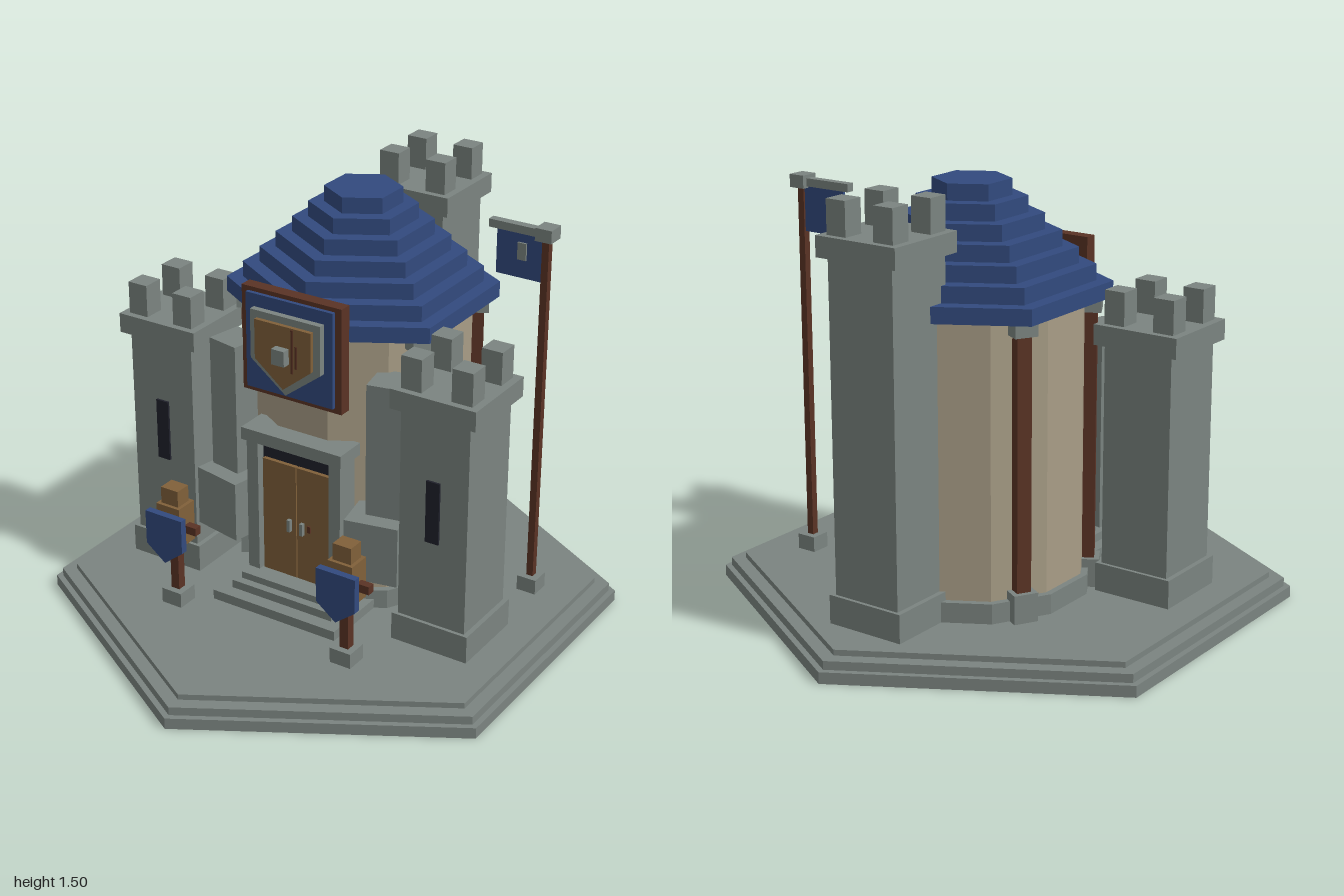
import * as THREE from 'three';

const mat = (name, color, extra = {}) => Object.assign(new THREE.MeshStandardMaterial({ color, ...extra }), { name });

export function createModel() {
  const stone = mat('stone', 0x7b8480);
  const blue = mat('blue', 0x324a7e);
  const wood = mat('wood', 0x80603a);
  const timber = mat('dark timber', 0x5a3325);
  const plaster = mat('plaster', 0xa89d86);
  const dark = mat('dark opening', 0x20212b);

  const root = new THREE.Group();
  const group = (name, x = 0, y = 0, z = 0, parent = root) => {
    const g = new THREE.Group();
    g.name = name;
    g.position.set(x, y, z);
    parent.add(g);
    return g;
  };
  const add = (parent, name, geo, m, x, y, z) => {
    const mesh = new THREE.Mesh(geo, m);
    mesh.name = name;
    mesh.position.set(x, y, z);
    parent.add(mesh);
    return mesh;
  };
  // box centred on x, z and spanning y0..y1
  const box = (parent, name, m, w, y0, y1, d, x = 0, z = 0) =>
    add(parent, name, new THREE.BoxGeometry(w, y1 - y0, d), m, x, (y0 + y1) / 2, z);
  // upright prism with n sides
  const prism = (parent, name, m, r, y0, y1, n, z = 0, turn = 0) => {
    const geo = new THREE.CylinderGeometry(r, r, y1 - y0, n).toNonIndexed();
    geo.computeVertexNormals();
    const mesh = add(parent, name, geo, m, 0, (y0 + y1) / 2, z);
    mesh.rotation.y = turn;
    return mesh;
  };
  // heater shield facing +z, with its back at z
  const shield = (parent, name, m, hw, top, side, tip, depth, z) => {
    const s = new THREE.Shape([[-hw, top], [-hw, side], [0, tip], [hw, side], [hw, top]]
      .map(([x, y]) => new THREE.Vector2(x, y)));
    return add(parent, name, new THREE.ExtrudeGeometry(s, { depth, bevelEnabled: false }), m, 0, 0, z);
  };

  // hexagonal stepped base
  [[1, 0, 0.04], [0.977, 0.04, 0.07], [0.925, 0.07, 0.09]].forEach(([r, y0, y1]) =>
    prism(root, 'baseStep', stone, r, y0, y1, 6));

  // twelve-sided hall
  const cz = -0.18;
  const hall = group('hall', 0, 0, cz);
  prism(hall, 'plinth', stone, 0.41, 0.09, 0.16, 12, 0, Math.PI / 12);
  prism(hall, 'wall', plaster, 0.387, 0.16, 1.1, 12, 0, Math.PI / 12);

  // corner columns under the roof corners
  for (const a of [60, 120, 180, 240, 300]) {
    const col = group('column', 0, 0, 0, hall);
    col.rotation.y = THREE.MathUtils.degToRad(a);
    box(col, 'columnBase', stone, 0.085, 0.09, 0.19, 0.085, 0, 0.39);
    box(col, 'columnShaft', timber, 0.05, 0.19, 1.055, 0.05, 0, 0.39);
    box(col, 'columnCap', stone, 0.08, 1.055, 1.1, 0.08, 0, 0.39);
  }

  // stepped hexagonal roof
  [0.403, 0.355, 0.305, 0.257, 0.208, 0.161, 0.115].forEach((apothem, i) =>
    prism(hall, 'roofTier', blue, apothem / Math.cos(Math.PI / 6), 1.1 + i * 0.0557, 1.1 + (i + 1) * 0.0557, 6));

  // square towers with battlements
  const tower = (name, x, z, top) => {
    const t = group(name, x, 0, z);
    box(t, 'towerFoot', stone, 0.29, 0.09, 0.19, 0.29);
    box(t, 'towerShaft', stone, 0.255, 0.19, top - 0.07, 0.265);
    box(t, 'towerCap', stone, 0.315, top - 0.07, top, 0.31);
    for (const sx of [-1, 1]) for (const sz of [-1, 1])
      box(t, 'merlon', stone, 0.076, top, top + 0.115, 0.076, sx * 0.093, sz * 0.093);
    return t;
  };
  tower('backTower', 0, -0.625, 1.385);
  for (const s of [-1, 1]) {
    const t = tower(s > 0 ? 'leftTower' : 'rightTower', s * 0.545, 0.117, 1.025);
    box(t, 'arrowSlit', dark, 0.05, 0.5, 0.725, 0.009, 0, 0.136);

    // masonry piers between hall and tower
    const upper = box(root, 'upperPier', stone, 0.125, 0.28, 0.98, 0.13, s * 0.31, 0.135);
    upper.rotation.y = s * 0.2;
    const lower = box(root, 'lowerPier', stone, 0.19, 0.28, 0.5, 0.15, s * 0.3, 0.19);
    lower.rotation.y = s * 0.2;
  }

  // entrance steps
  box(root, 'step', stone, 0.5, 0.09, 0.125, 0.29, 0, 0.24);
  box(root, 'step', stone, 0.41, 0.125, 0.155, 0.23, 0, 0.22);
  box(root, 'step', stone, 0.37, 0.155, 0.18, 0.18, 0, 0.215);

  // door with frame
  const door = group('doorway');
  box(door, 'doorRecess', dark, 0.3, 0.18, 0.69, 0.05, 0, 0.195);
  for (const s of [-1, 1]) {
    box(door, 'doorLeaf', wood, 0.135, 0.18, 0.61, 0.02, s * 0.0695, 0.225);
    box(door, 'doorHandle', stone, 0.013, 0.36, 0.405, 0.015, s * 0.026, 0.242);
    box(door, 'doorJamb', stone, 0.045, 0.18, 0.68, 0.09, s * 0.166, 0.21);
  }
  box(door, 'doorMark', timber, 0.012, 0.375, 0.4, 0.006, 0.052, 0.237);
  box(door, 'lintel', stone, 0.4, 0.68, 0.725, 0.12, 0, 0.21);

  // wall sign with shield
  const sign = group('sign');
  box(sign, 'signFrame', timber, 0.39, 0.87, 1.245, 0.045, 0, 0.233);
  box(sign, 'signPanel', blue, 0.34, 0.89, 1.23, 0.02, 0, 0.26);
  shield(sign, 'shieldRim', stone, 0.137, 1.185, 1.01, 0.905, 0.025, 0.268);
  shield(sign, 'shieldFace', wood, 0.11, 1.16, 1.02, 0.932, 0.018, 0.29);
  box(sign, 'shieldBoss', stone, 0.05, 1.03, 1.085, 0.03, 0, 0.322);
  box(sign, 'shieldScratch', timber, 0.008, 1.0, 1.155, 0.004, 0.038, 0.309);
  box(sign, 'shieldScratch', timber, 0.008, 1.02, 1.1, 0.004, 0.053, 0.309);

  // training dummies
  for (const s of [-1, 1]) {
    const d = group('trainingDummy', s * 0.347, 0, 0.458);
    box(d, 'dummyFoot', stone, 0.08, 0.09, 0.145, 0.08);
    box(d, 'dummyPost', timber, 0.033, 0.145, 0.34, 0.033);
    box(d, 'dummyBody', wood, 0.095, 0.33, 0.48, 0.085);
    box(d, 'dummyHead', wood, 0.07, 0.48, 0.54, 0.06);
    box(d, 'dummyArms', timber, 0.187, 0.378, 0.408, 0.028);
    shield(d, 'dummyShield', blue, 0.075, 0.455, 0.33, 0.272, 0.026, 0.043);
  }

  // flag
  const flag = group('flag', 0.64, 0, -0.283);
  box(flag, 'flagFoot', stone, 0.072, 0.09, 0.145, 0.072);
  box(flag, 'flagPole', timber, 0.025, 0.145, 1.4, 0.025);
  box(flag, 'poleTop', stone, 0.06, 1.402, 1.447, 0.065);
  box(flag, 'crossbar', stone, 0.185, 1.408, 1.436, 0.03, -0.117);
  box(flag, 'cloth', blue, 0.17, 1.25, 1.408, 0.012, -0.097);
  box(flag, 'clothPatch', stone, 0.032, 1.315, 1.375, 0.008, -0.086, 0.009);

  return root;
}
